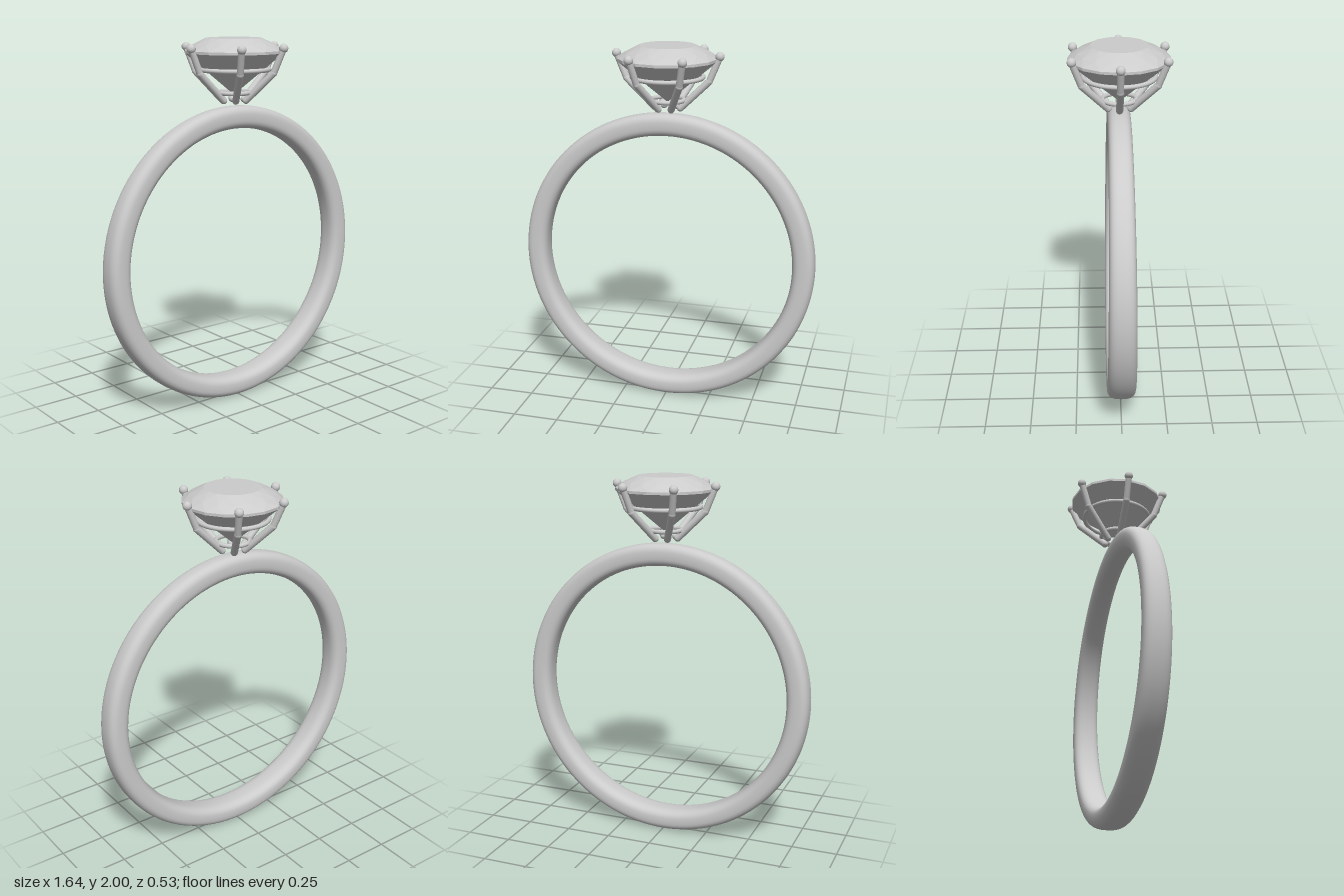
import * as THREE from 'three';

const metal = new THREE.MeshStandardMaterial({ color: 0xcccccc });
const stone = new THREE.MeshStandardMaterial({ color: 0xcccccc, flatShading: true });

function add(parent, name, geometry, material = metal) {
  const mesh = new THREE.Mesh(geometry, material);
  mesh.name = name;
  parent.add(mesh);
  return mesh;
}

// Band: a softly squared section swept round a circle, wider at the bottom
function bandGeometry() {
  const R = 0.76, halfThick = 0.061, cy = 0.82, around = 128, section = 32;
  const soft = (v) => Math.sign(v) * Math.pow(Math.abs(v), 0.72);
  const geo = new THREE.TorusGeometry(R, 1, section, around);
  const pos = geo.attributes.position;
  for (let j = 0, i = 0; j <= section; j++) {
    const v = (j / section) * Math.PI * 2;
    for (let k = 0; k <= around; k++, i++) {
      const u = (k / around) * Math.PI * 2;
      const r = R + halfThick * soft(Math.cos(v));
      const halfWidth = 0.071 - 0.009 * Math.sin(u);
      pos.setXYZ(i, r * Math.cos(u), cy + r * Math.sin(u), halfWidth * soft(Math.sin(v)));
    }
  }
  geo.computeVertexNormals();
  // Match the normals along the seams
  const n = geo.attributes.normal, row = around + 1;
  const weld = (a, b) => {
    const s = new THREE.Vector3().fromBufferAttribute(n, a)
      .add(new THREE.Vector3().fromBufferAttribute(n, b)).normalize();
    n.setXYZ(a, s.x, s.y, s.z);
    n.setXYZ(b, s.x, s.y, s.z);
  };
  for (let j = 0; j <= section; j++) weld(j * row, j * row + around);
  for (let k = 0; k <= around; k++) weld(k, section * row + k);
  return geo;
}

// Cut stone: 16-sided rings, each turned half a step where triangular facets meet
function stoneGeometry() {
  const N = 16;
  const rings = [ // radius, height, turn in steps
    [0, 1.7, 0], [0.265, 1.922, 0], [0.265, 1.936, 0],
    [0.22, 1.967, 0.5], [0.15, 2, 0], [0, 2, 0],
  ];
  const p = [], index = [];
  for (const [r, y, turn] of rings) {
    for (let k = 0; k < N; k++) {
      const a = ((k + turn) / N) * Math.PI * 2;
      p.push(new THREE.Vector3(r * Math.sin(a), y, r * Math.cos(a)));
    }
  }
  for (let j = 0; j < rings.length - 1; j++) {
    for (let k = 0; k < N; k++) {
      const a = j * N + k, b = j * N + ((k + 1) % N), c = a + N, d = b + N;
      if (rings[j][2] > rings[j + 1][2]) index.push(a, b, d, a, d, c);
      else index.push(a, b, c, b, d, c);
    }
  }
  const geo = new THREE.BufferGeometry().setFromPoints(p);
  geo.setIndex(index);
  geo.computeVertexNormals();
  return geo;
}

// Round rod between two points
function rod(parent, name, a, b, radius) {
  const mesh = add(parent, name, new THREE.CylinderGeometry(radius, radius, a.distanceTo(b), 16));
  mesh.position.copy(a).lerp(b, 0.5);
  mesh.quaternion.setFromUnitVectors(new THREE.Vector3(0, 1, 0), b.clone().sub(a).normalize());
}

function ball(parent, name, at, radius) {
  add(parent, name, new THREE.SphereGeometry(radius, 20, 14)).position.copy(at);
}

export function createModel() {
  const ring = new THREE.Group();
  ring.name = 'ring';
  add(ring, 'band', bandGeometry());
  add(ring, 'gemstone', stoneGeometry(), stone);

  // Six bent prongs with ball tips
  const setting = new THREE.Group();
  setting.name = 'setting';
  ring.add(setting);
  const foot = new THREE.Vector3(0.07, 1.672, 0);
  const elbow = new THREE.Vector3(0.225, 1.82, 0);
  const tip = new THREE.Vector3(0.279, 1.95, 0);
  for (let i = 0; i < 6; i++) {
    const prong = new THREE.Group();
    prong.name = 'prong';
    prong.rotation.y = (i * Math.PI) / 3;
    rod(prong, 'prongLower', foot, elbow, 0.019);
    rod(prong, 'prongUpper', elbow, tip, 0.018);
    ball(prong, 'prongFoot', foot, 0.019);
    ball(prong, 'prongElbow', elbow, 0.019);
    ball(prong, 'prongTip', tip, 0.024);
    setting.add(prong);
  }

  // Two rails joining the prongs
  for (const [name, r, y] of [['upperRail', 0.188, 1.835], ['lowerRail', 0.088, 1.712]]) {
    const rail = add(setting, name, new THREE.TorusGeometry(r, 0.012, 12, 64));
    rail.rotation.x = Math.PI / 2;
    rail.position.y = y;
  }
  return ring;
}
